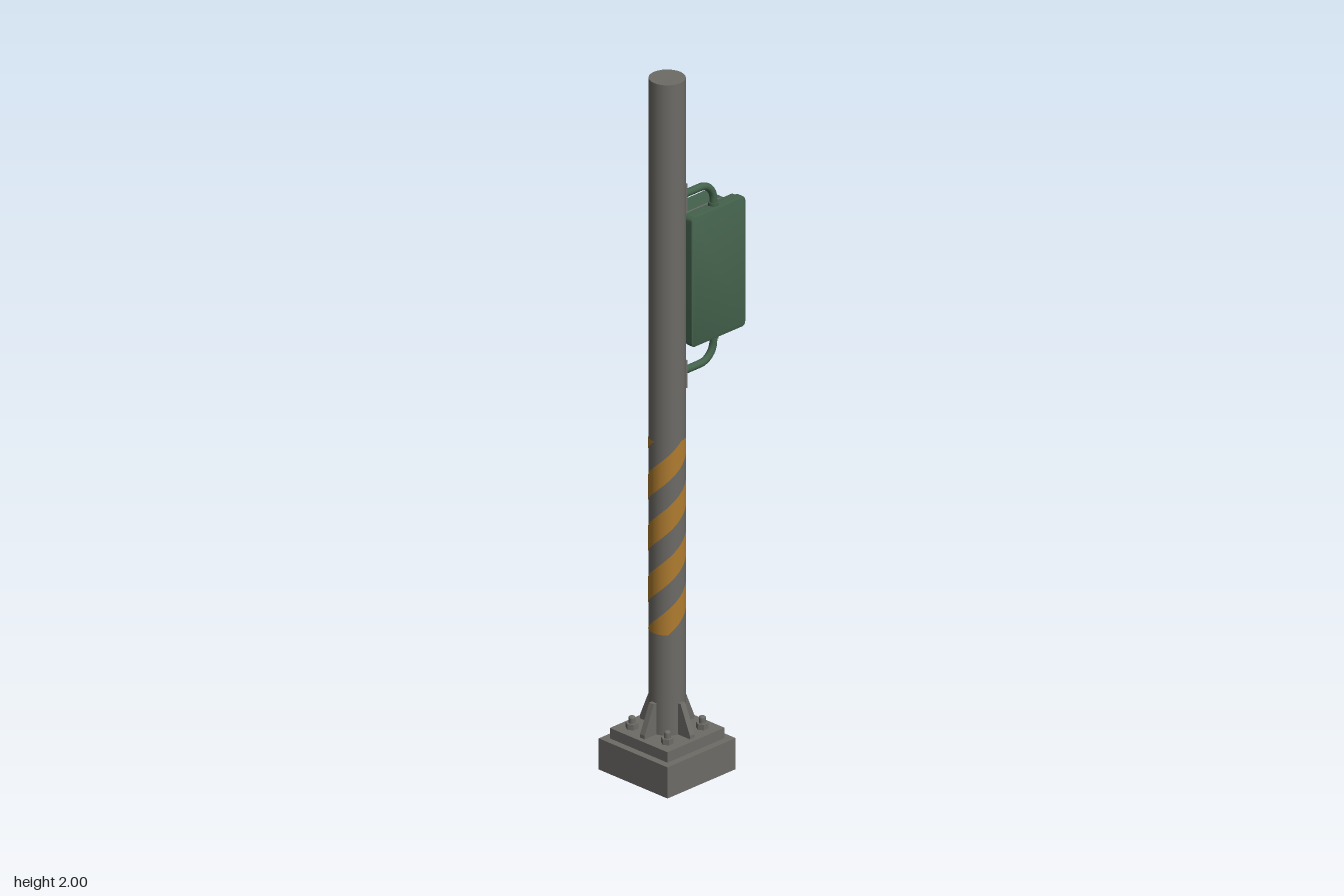
import * as THREE from 'three';
import { toCreasedNormals } from 'three/addons/utils/BufferGeometryUtils.js';

const material = (name, color) => {
  const m = new THREE.MeshStandardMaterial({ color });
  m.name = name;
  return m;
};

// Rounded rectangle outline, centred on (0, cy)
function roundedRect(Type, w, h, r, cy = 0) {
  const p = new Type(), x = w / 2 - r, y = h / 2 - r, q = Math.PI / 2;
  p.absarc(x, cy + y, r, 0, q);
  p.absarc(-x, cy + y, r, q, 2 * q);
  p.absarc(-x, cy - y, r, 2 * q, 3 * q);
  p.absarc(x, cy - y, r, 3 * q, 4 * q);
  p.closePath();
  return p;
}

export function createModel() {
  const steel = material('steel grey', 0x6d6b66);
  const green = material('signal green', 0x44624c);
  const yellow = material('warning yellow', 0xb07d30);
  const black = material('lens black', 0x141414);

  const model = new THREE.Group();
  const CZ = 0.0715, R = 0.049;      // pole centre and radius
  const add = (name, geometry, mat, x = 0, y = 0, z = 0, parent = model) => {
    const mesh = new THREE.Mesh(geometry, mat);
    mesh.name = name;
    mesh.position.set(x, y, z);
    parent.add(mesh);
    return mesh;
  };

  // Foundation and pole
  add('foundation', new THREE.BoxGeometry(0.253, 0.09, 0.253), steel, 0, 0.045, CZ);
  add('basePlate', new THREE.BoxGeometry(0.212, 0.03, 0.212), steel, 0, 0.105, CZ);
  add('pole', new THREE.CylinderGeometry(R, R, 1.88, 24), steel, 0, 1.06, CZ);

  // Gussets around the pole foot
  const gussetShape = new THREE.Shape([[0.04, 0.12], [0.092, 0.12], [0.092, 0.13], [0.058, 0.21], [0.04, 0.21]]
    .map(([x, y]) => new THREE.Vector2(x, y)));
  const gusset = new THREE.ExtrudeGeometry(gussetShape, { depth: 0.017, bevelEnabled: false }).translate(0, 0, -0.0085);
  for (let i = 0; i < 4; i++) add('gusset', gusset, steel, 0, 0, CZ).rotation.y = i * Math.PI / 2;

  // Anchor bolts
  const nut = toCreasedNormals(new THREE.CylinderGeometry(0.017, 0.017, 0.016, 6), 0.5);
  const rod = new THREE.CylinderGeometry(0.0095, 0.0095, 0.03, 12);
  const tip = new THREE.SphereGeometry(0.0095, 12, 5, 0, Math.PI * 2, 0, Math.PI / 2).scale(1, 0.6, 1);
  for (const sx of [-1, 1]) for (const sz of [-1, 1]) {
    const bolt = new THREE.Group();
    bolt.name = 'anchorBolt';
    bolt.position.set(sx * 0.065, 0.12, CZ + sz * 0.065);
    add('nut', nut, steel, 0, 0.008, 0, bolt);
    add('rod', rod, steel, 0, 0.015, 0, bolt);
    add('tip', tip, steel, 0, 0.03, 0, bolt);
    model.add(bolt);
  }

  // Helical warning stripes, clipped to a band on the pole
  const pitch = 0.148, low = 0.41, high = 0.965, N = 96, pos = [];
  const rs = R + 0.0008;
  const point = (t, y) => [rs * Math.sin(t), THREE.MathUtils.clamp(y, low, high), rs * Math.cos(t)];
  for (let k = -3; k < 5; k++) for (let i = 0; i < N; i++) {
    const t0 = i / N * Math.PI * 2, t1 = (i + 1) / N * Math.PI * 2;
    const y0 = 0.371 + pitch * (k + t0 / Math.PI), y1 = 0.371 + pitch * (k + t1 / Math.PI);
    if (y1 + pitch / 2 <= low || y0 >= high) continue;
    const a = point(t0, y0), b = point(t1, y1), c = point(t1, y1 + pitch / 2), d = point(t0, y0 + pitch / 2);
    pos.push(...a, ...b, ...c, ...a, ...c, ...d);
  }
  const stripes = new THREE.BufferGeometry();
  stripes.setAttribute('position', new THREE.Float32BufferAttribute(pos, 3));
  stripes.setAttribute('normal', new THREE.Float32BufferAttribute(
    pos.map((v, i) => (i % 3 === 1 ? 0 : v / rs)), 3));
  add('warningStripes', stripes, yellow, 0, 0, CZ);

  // Signal head, facing -x
  const head = new THREE.Group();
  head.name = 'signalHead';
  head.position.z = -0.1;
  model.add(head);
  const slab = (w, h, r, depth) => {
    const g = new THREE.ExtrudeGeometry(roundedRect(THREE.Shape, w - 0.006, h - 0.006, r),
      { depth: depth - 0.006, bevelThickness: 0.003, bevelSize: 0.003, bevelSegments: 2, curveSegments: 5 });
    return toCreasedNormals(g.translate(0, 0, 0.003 - depth / 2).rotateY(-Math.PI / 2), 0.6);
  };
  add('housing', slab(0.2, 0.376, 0.01, 0.026), green, 0.007, 1.387, 0, head);
  add('door', slab(0.194, 0.37, 0.01, 0.018), green, -0.011, 1.387, 0, head);

  // Hoods: rectangular tubes cut obliquely, longest at the top
  for (const [i, bottom] of [1.393, 1.219].entries()) {
    const h = 0.166, cy = bottom + h / 2;
    const shape = roundedRect(THREE.Shape, 0.18, h, 0.022, cy);
    shape.holes.push(roundedRect(THREE.Path, 0.172, h - 0.008, 0.018, cy));
    const g = new THREE.ExtrudeGeometry(shape, { depth: 1, bevelEnabled: false, curveSegments: 6 });
    const p = g.attributes.position;
    for (let v = 0; v < p.count; v++) {
      const t = THREE.MathUtils.clamp((p.getY(v) - bottom - 0.012) / (h - 0.036), 0, 1);
      p.setZ(v, p.getZ(v) * (0.026 + 0.056 * t));
    }
    g.rotateY(-Math.PI / 2);
    add('hood', toCreasedNormals(g, 0.6), green, -0.019, 0, 0, head);

    // Dark lens with louvres
    add('lens', new THREE.BoxGeometry(0.004, h - 0.01, 0.172), black, -0.022, cy, 0, head);
    for (let j = 1; j < 8; j++) {
      add('louvre', new THREE.BoxGeometry(0.012, 0.002, 0.168), black, -0.03, bottom + h * j / 8, 0, head);
      add('louvre', new THREE.BoxGeometry(0.012, h - 0.014, 0.002), black, -0.03, cy, 0.172 * (j / 8 - 0.5), head);
    }
    // Bare strip on the upper hood
    if (i === 0) add('bareStrip', new THREE.BoxGeometry(0.02, 0.001, 0.136), steel, -0.032, bottom + h, 0, head);
  }

  // Bent bracket arms, collars and pole pads
  for (const [y, end, s] of [[1.642, 1.57, -1], [1.132, 1.205, 1]]) {
    const v = (yy, z) => new THREE.Vector3(0, yy, z);
    const path = new THREE.CurvePath();
    path.add(new THREE.LineCurve3(v(y, 0.025), v(y, -0.05)));
    path.add(new THREE.CubicBezierCurve3(v(y, -0.05), v(y, -0.0776), v(y + s * 0.0224, -0.1), v(y + s * 0.05, -0.1)));
    path.add(new THREE.LineCurve3(v(y + s * 0.05, -0.1), v(end, -0.1)));
    add('bracketArm', new THREE.TubeGeometry(path, 32, 0.0105, 12), green);
    add('bracketCollar', new THREE.CylinderGeometry(0.014, 0.014, 0.012, 16), green, 0, end - s * 0.008, -0.1);
    add('polePad', new THREE.BoxGeometry(0.042, 0.08, 0.012), steel, 0, y, 0.024);
  }
  return model;
}
